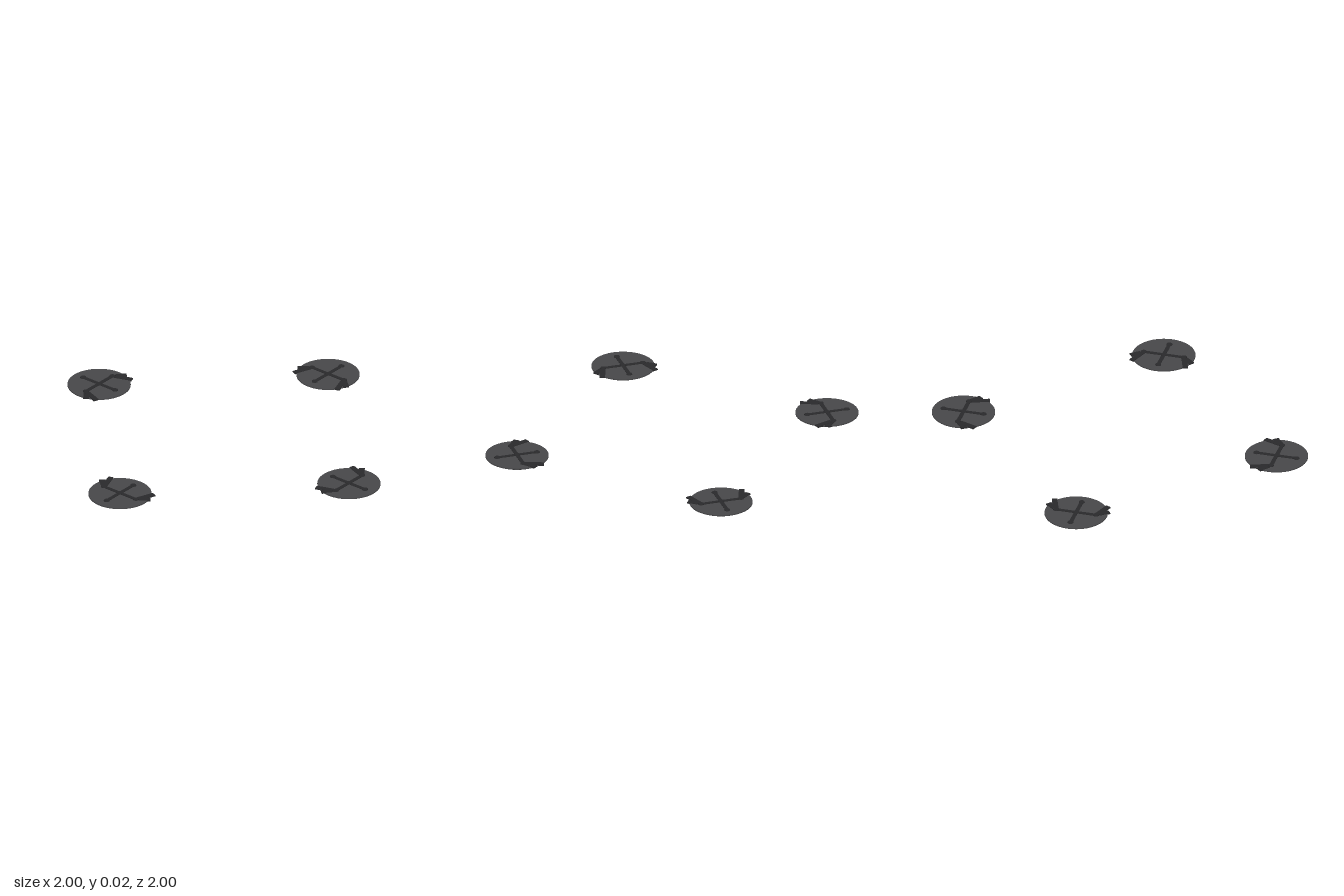
import * as THREE from 'three';

const plateMat = new THREE.MeshStandardMaterial({ color: 0x48484a });
const trimMat = new THREE.MeshStandardMaterial({ color: 0x2a2a2c });

const R = 0.163;        // pad radius
const TOP = 0.012;      // top of the plate
const REACH = 0.107;    // distance of the outer studs

function add(group, name, geometry, material, x = 0, y = 0, z = 0) {
  const mesh = new THREE.Mesh(geometry, material);
  mesh.name = name;
  mesh.position.set(x, y, z);
  group.add(mesh);
  return mesh;
}

// Flat bar lying between two points given as [x, z]
function bar(group, name, a, b, width, bottom, top) {
  const dx = b[0] - a[0], dz = b[1] - a[1];
  const mesh = add(group, name, new THREE.BoxGeometry(Math.hypot(dx, dz), top - bottom, width), trimMat,
    (a[0] + b[0]) / 2, (top + bottom) / 2, (a[1] + b[1]) / 2);
  mesh.rotation.y = -Math.atan2(dz, dx);
}

// One pad, with its claws towards -z
function createPad() {
  const pad = new THREE.Group();

  // Round plate with a bevelled underside
  add(pad, 'plateRim', new THREE.CylinderGeometry(R, R, 0.006, 64), plateMat, 0, TOP - 0.003, 0);
  add(pad, 'plateBase', new THREE.CylinderGeometry(R, 0.152, 0.006, 64), plateMat, 0, 0.003, 0);

  // Crossed ribs
  bar(pad, 'crossRib', [-REACH, 0], [REACH, 0], 0.02, TOP - 0.002, 0.0145);
  bar(pad, 'lengthRib', [0, -REACH], [0, REACH], 0.02, TOP - 0.002, 0.0143);

  // Studs at the middle and the rib ends
  for (const [x, z] of [[0, 0], [REACH, 0], [-REACH, 0], [0, REACH], [0, -REACH]]) {
    add(pad, 'stud', new THREE.CylinderGeometry(0.015, 0.016, 0.006, 16), trimMat, x, 0.013, z);
  }

  // A pair of claws on each side, reaching past the rim
  for (const s of [-1, 1]) {
    bar(pad, 'longClaw', [s * 0.112, -0.012], [s * 0.144, -0.101], 0.028, 0.008, 0.0148);
    bar(pad, 'shortClaw', [s * 0.118, -0.012], [s * 0.163, -0.049], 0.03, 0.008, 0.0146);
  }
  return pad;
}

export function createModel() {
  const model = new THREE.Group();
  model.name = 'padSet';
  const names = ['frontPad', 'leftPad', 'backPad', 'rightPad'];
  names.forEach((name, i) => {
    const pad = createPad();
    const angle = i * Math.PI / 2;
    pad.name = name;
    pad.rotation.y = angle;
    pad.position.set(Math.sin(angle) * (1 - R), 0, Math.cos(angle) * (1 - R));
    model.add(pad);
  });
  return model;
}
